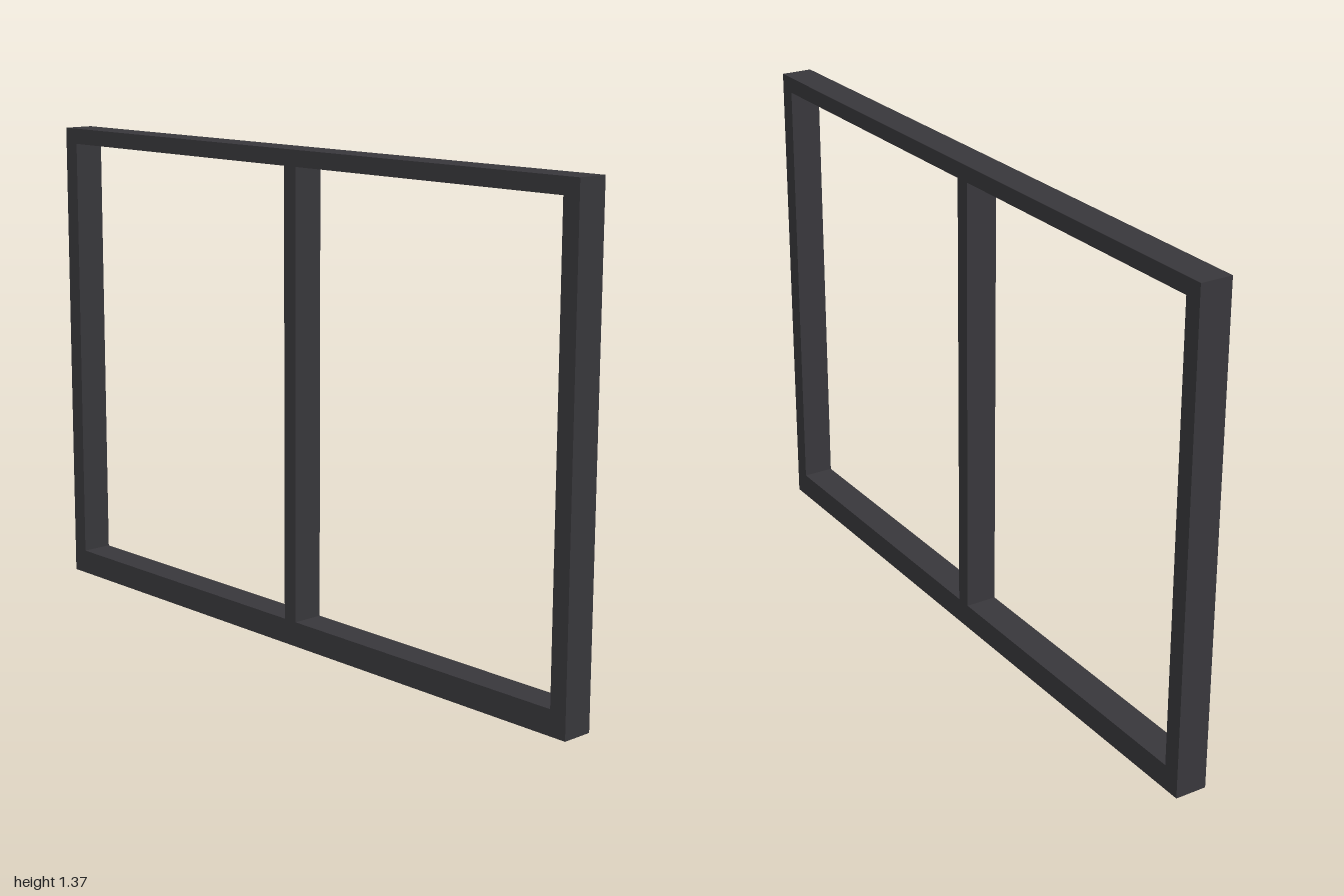
import * as THREE from 'three';

const WIDTH = 2, HEIGHT = 1.37, DEPTH = 0.09;
const POST = 0.05, TOP_RAIL = 0.045, BOTTOM_RAIL = 0.07, MULLION = 0.045;

export function createModel() {
  const group = new THREE.Group();
  group.name = 'windowFrame';
  const charcoal = new THREE.MeshStandardMaterial({ color: 0x39383c });
  charcoal.name = 'charcoal';

  // A bar of the frame, placed by its centre x and bottom y
  const bar = (name, w, h, x, y) => {
    const mesh = new THREE.Mesh(new THREE.BoxGeometry(w, h, DEPTH), charcoal);
    mesh.name = name;
    mesh.position.set(x, y + h / 2, 0);
    group.add(mesh);
  };

  // Rails across the full width
  bar('bottomRail', WIDTH, BOTTOM_RAIL, 0, 0);
  bar('topRail', WIDTH, TOP_RAIL, 0, HEIGHT - TOP_RAIL);

  // Uprights between the rails
  const inner = HEIGHT - BOTTOM_RAIL - TOP_RAIL;
  bar('leftPost', POST, inner, (WIDTH - POST) / 2, BOTTOM_RAIL);
  bar('rightPost', POST, inner, -(WIDTH - POST) / 2, BOTTOM_RAIL);
  bar('centreMullion', MULLION, inner, 0, BOTTOM_RAIL);

  return group;
}
